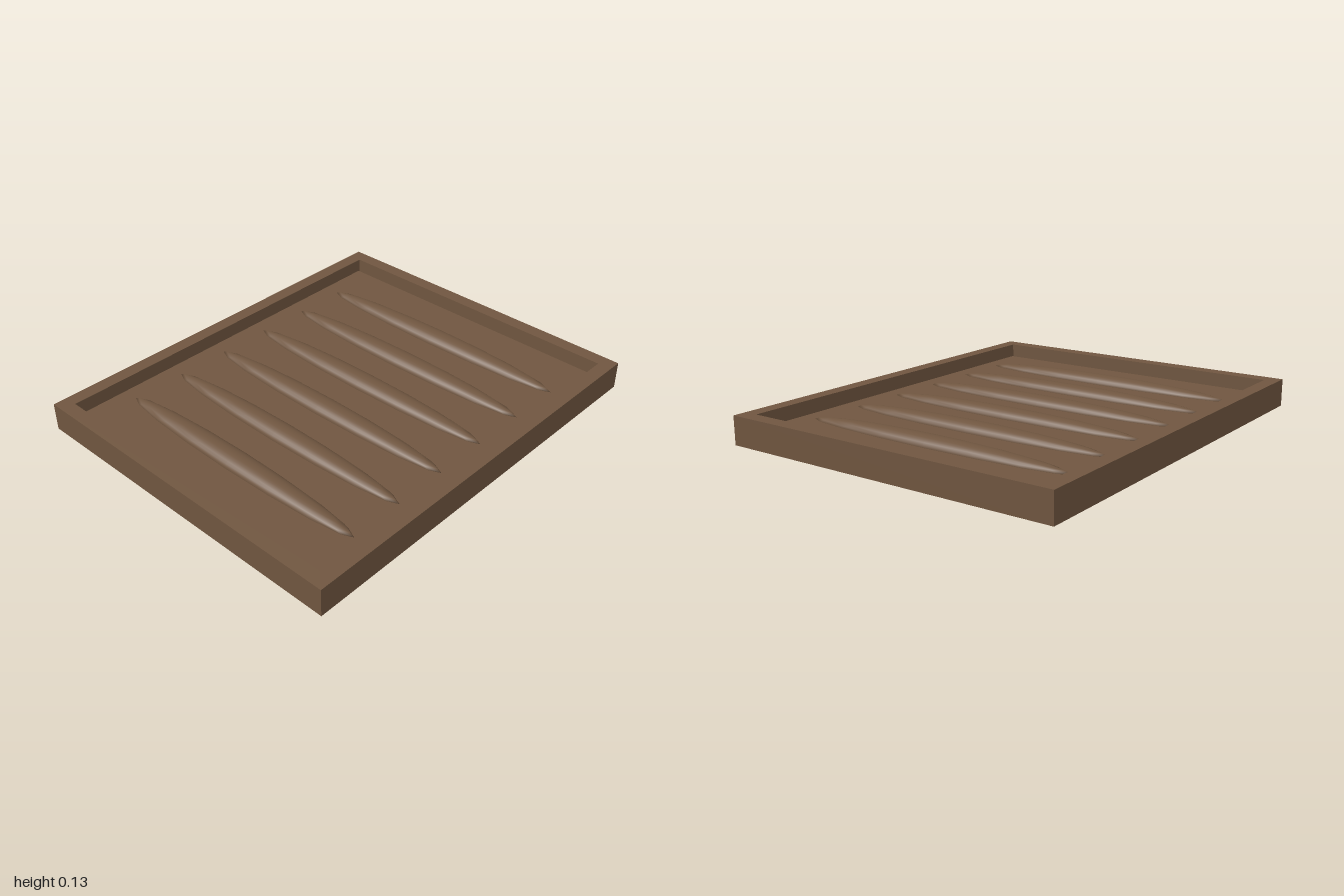
import * as THREE from 'three';

export function createModel() {
  const group = new THREE.Group();
  const wood = new THREE.MeshStandardMaterial({ color: 0x705640 });
  wood.name = 'brown wood';

  const add = (name, geometry, x, y, z) => {
    const mesh = new THREE.Mesh(geometry, wood);
    mesh.name = name;
    mesh.position.set(x, y, z);
    group.add(mesh);
    return mesh;
  };

  const width = 1.65, length = 2, height = 0.133, wall = 0.067;
  const floorTop = 0.067;

  // Rectangular rim: an outline with the tray opening cut out
  const rect = (path, w, l) => {
    path.moveTo(-w / 2, -l / 2);
    path.lineTo(w / 2, -l / 2);
    path.lineTo(w / 2, l / 2);
    path.lineTo(-w / 2, l / 2);
    path.closePath();
    return path;
  };
  const outline = rect(new THREE.Shape(), width, length);
  outline.holes.push(rect(new THREE.Path(), width - 2 * wall, length - 2 * wall));
  const rim = new THREE.ExtrudeGeometry(outline, { depth: height, bevelEnabled: false });
  rim.rotateX(-Math.PI / 2);
  add('rim', rim, 0, 0, 0);

  // Floor panel, leaving a narrow slot at the front and back
  add('floor', new THREE.BoxGeometry(width - 2 * wall, floorTop, 1.852), 0, floorTop / 2, 0);

  // Six long rounded ridges resting on the floor (upper halves of stretched spheres)
  const ridge = new THREE.SphereGeometry(1, 16, 6, 0, Math.PI * 2, 0, Math.PI / 2);
  ridge.scale(0.68, 0.04, 0.061);
  for (let i = 0; i < 6; i++) {
    add('ridge' + (i + 1), ridge, 0, floorTop, (i - 2.5) * 0.267);
  }

  return group;
}
